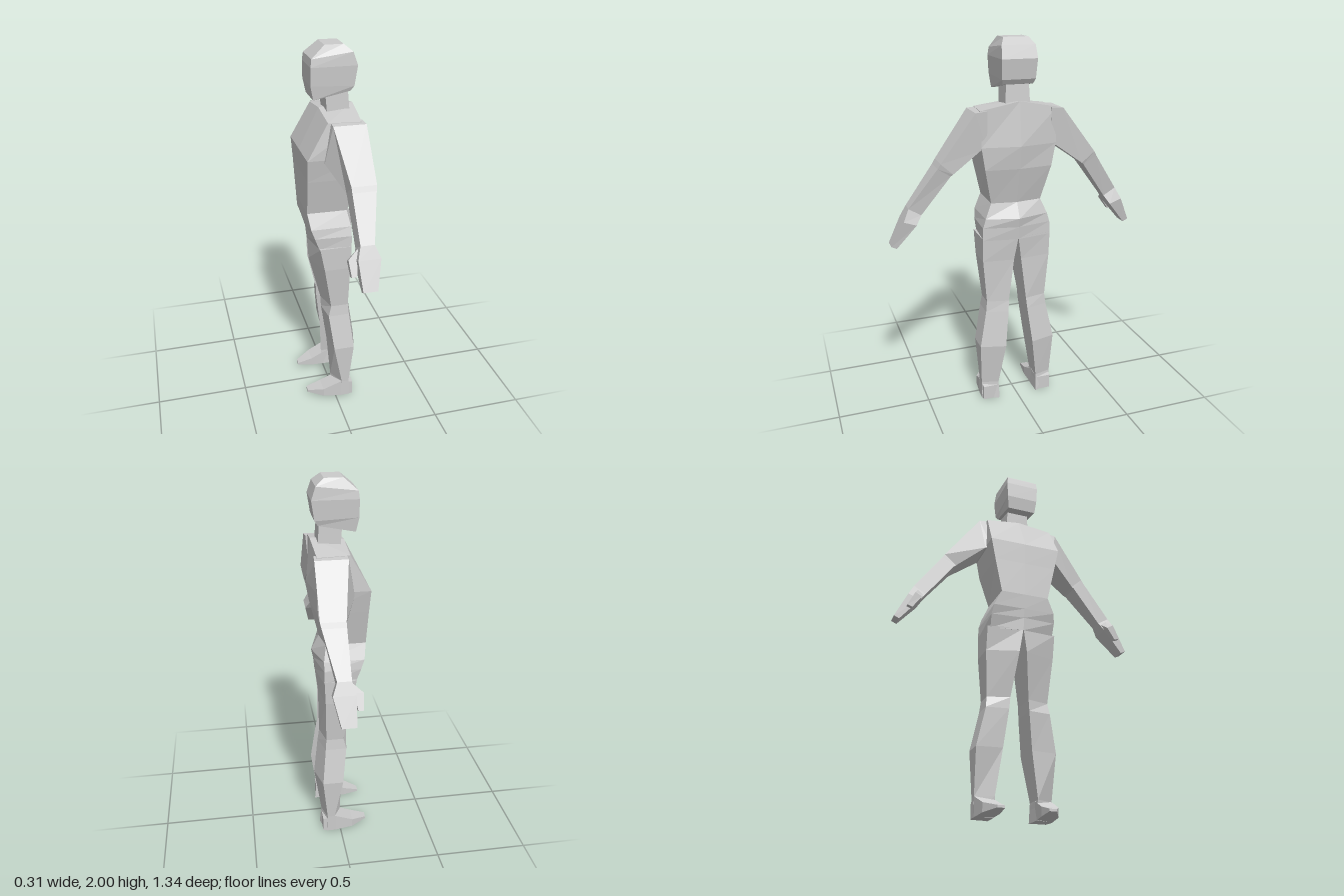
import * as THREE from 'three';

const material = new THREE.MeshStandardMaterial({ color: 0xcccccc, flatShading: true });

// Skin a list of equal-sized rings and cap both ends.
// Corners run counter-clockwise as seen from the end the rings move towards.
function loft(name, rings) {
  const pos = [];
  const tri = (a, b, c) => pos.push(...a, ...b, ...c);
  const n = rings[0].length;
  for (let r = 0; r < rings.length - 1; r++) {
    for (let i = 0; i < n; i++) {
      const j = (i + 1) % n;
      tri(rings[r][i], rings[r][j], rings[r + 1][j]);
      tri(rings[r][i], rings[r + 1][j], rings[r + 1][i]);
    }
  }
  const first = rings[0], last = rings[rings.length - 1];
  for (let i = 1; i < n - 1; i++) {
    tri(first[0], first[i + 1], first[i]);
    tri(last[0], last[i], last[i + 1]);
  }
  const geometry = new THREE.BufferGeometry();
  geometry.setAttribute('position', new THREE.Float32BufferAttribute(pos, 3));
  geometry.computeVertexNormals();
  const mesh = new THREE.Mesh(geometry, material);
  mesh.name = name;
  return mesh;
}

// Mirror rings across z = 0, keeping the faces outward
const mirror = (rings) => rings.map((ring) => ring.map(([x, y, z]) => [x, y, -z]).reverse());

// Symmetric quad ring: front (-x) and back (+x) edges at their own heights
const quad = ([xf, yf, xb, yb, w]) => [[xb, yb, -w], [xf, yf, -w], [xf, yf, w], [xb, yb, w]];

export function createModel() {
  const model = new THREE.Group();
  model.name = 'figure';

  // Torso: height, front centre x, front side x, front width, back side x, back width, spine x, centre lift
  const torso = [
    [0.96, -0.115, -0.085, 0.175, 0.085, 0.19, 0.115, 0],
    [1.03, -0.122, -0.11, 0.178, 0.085, 0.187, 0.122, 0],
    [1.08, -0.13, -0.128, 0.17, 0.085, 0.172, 0.132, 0],
    [1.16, -0.14, -0.14, 0.132, 0.07, 0.137, 0.09, 0],
    [1.35, -0.145, -0.145, 0.173, 0.115, 0.18, 0.135, 0],
    [1.47, -0.15, -0.15, 0.198, 0.12, 0.2, 0.152, 0],
    [1.655, -0.045, -0.045, 0.19, 0.12, 0.205, 0.13, 0.04],
  ].map(([y, fc, f, wf, b, wb, bc, lift]) => [
    [bc, y + lift, 0], [b, y, -wb], [f, y, -wf],
    [fc, y + lift * 0.6, 0], [f, y, wf], [b, y, wb],
  ]);
  model.add(loft('torso', torso));

  // Neck and head
  model.add(loft('neck', [
    [-0.015, 1.64, 0.1, 1.65, 0.066],
    [-0.027, 1.79, 0.088, 1.8, 0.06],
  ].map(quad)));
  model.add(loft('head', [
    [-0.09, 1.738, 0.098, 1.775, 0.08],
    [-0.105, 1.81, 0.115, 1.8, 0.088],
    [-0.105, 1.9, 0.13, 1.9, 0.093],
    [-0.1, 1.94, 0.108, 1.965, 0.088],
    [-0.03, 2, 0.065, 2, 0.065],
  ].map(quad)));

  // Leg from ankle to hip: y, front inner x, front outer x, back outer x, back inner x, inner z, outer z
  const leg = [
    [0, -0.005, 0.035, 0.08, 0.11, 0.11, 0.205],
    [0.1, -0.01, 0.035, 0.075, 0.1, 0.113, 0.205],
    [0.34, -0.025, -0.012, 0.1, 0.135, 0.078, 0.215],
    [0.54, -0.05, -0.035, 0.08, 0.11, 0.055, 0.175],
    [0.6, -0.052, -0.02, 0.075, 0.1, 0.05, 0.168],
    [0.84, -0.11, -0.06, 0.08, 0.1, 0.02, 0.188],
    [0.97, -0.115, -0.085, 0.085, 0.115, 0, 0.19],
  ].map(([y, fi, fo, bo, bi, zi, zo]) => [[bi, y, zi], [fi, y, zi], [fo, y, zo], [bo, y, zo]]);

  // Foot from heel to toe: x, sole y, top y, inner z, outer z
  const foot = [
    [0.1, 0, 0.08, 0.112, 0.2],
    [0.03, 0, 0.1, 0.112, 0.205],
    [-0.07, 0.007, 0.055, 0.105, 0.195],
    [-0.155, 0.018, 0.03, 0.112, 0.15],
  ].map(([x, sole, y, zi, zo]) => [[x, sole, zi], [x, sole, zo], [x, y, zo], [x, y, zi]]);

  // Arm from shoulder to fingertips: upper y/z, lower y/z, then x of
  // upper back, upper front, lower front, lower back
  const section = ([yu, zu, yl, zl, ub, uf, lf, lb]) =>
    [[ub, yu, zu], [uf, yu, zu], [lf, yl, zl], [lb, yl, zl]];
  const arm = [
    [1.655, 0.17, 1.46, 0.17, 0.132, -0.03, -0.07, 0.115],
    [1.65, 0.232, 1.455, 0.205, 0.136, -0.03, -0.065, 0.115],
    [1.41, 0.415, 1.35, 0.35, 0.136, 0.01, 0.005, 0.125],
    [1.385, 0.43, 1.34, 0.362, 0.13, 0.01, 0.005, 0.12],
    [1.18, 0.575, 1.14, 0.51, 0.08, 0.01, 0.005, 0.078],
  ].map(section);
  const hand = [
    [1.18, 0.575, 1.14, 0.51, 0.08, 0.01, 0.005, 0.078],
    [1.12, 0.605, 1.095, 0.54, 0.104, -0.008, -0.01, 0.1],
    [0.985, 0.67, 0.972, 0.642, 0.072, 0, 0, 0.072],
  ].map(section);
  const thumb = [
    [1.155, 0.555, 1.13, 0.525, 0.02, 0, 0, 0.02],
    [1.115, 0.575, 1.095, 0.54, 0, -0.047, -0.045, 0],
    [1.04, 0.612, 1.03, 0.585, -0.015, -0.04, -0.04, -0.015],
  ].map(section);

  // Matching limbs on both sides
  const limbs = { Leg: leg, Foot: foot, Arm: arm, Hand: hand, Thumb: thumb };
  for (const [name, rings] of Object.entries(limbs)) {
    model.add(loft('left' + name, rings));
    model.add(loft('right' + name, mirror(rings)));
  }
  return model;
}
